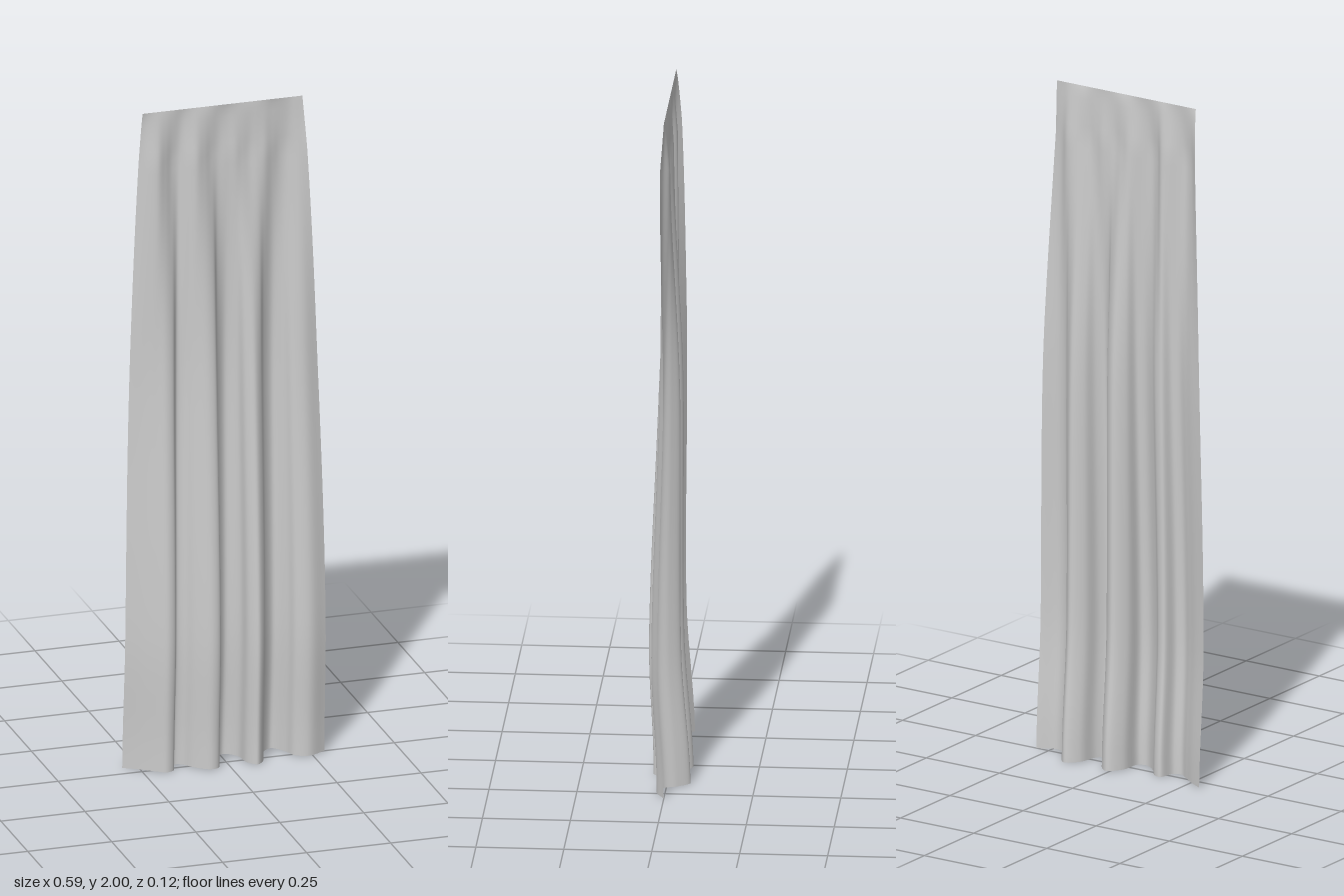
import * as THREE from 'three';

// hem outline of the cloth as [x, z], from right edge (-x) to left edge (+x)
const HEM = [
  [-0.295, -0.045], [-0.25, -0.018], [-0.215, 0.008], [-0.185, 0.027], [-0.162, 0.018],
  [-0.148, -0.025], [-0.125, -0.02], [-0.1, 0.012], [-0.058, 0.042], [-0.032, 0.034],
  [-0.023, -0.025], [0.01, -0.064], [0.045, -0.035], [0.056, 0.02], [0.08, 0.045],
  [0.104, 0.02], [0.118, -0.035], [0.153, -0.066], [0.185, -0.03], [0.202, 0.008],
  [0.24, 0.024], [0.292, 0.0],
];
const ROWS = 44, COLS = 126;

// cross-section of the cloth at height y: straight at the top, deep folds at the hem
function sectionAt(y) {
  const spread = 1 - Math.pow(y / 2, 2.2);
  const depth = Math.pow(1 - y / 2, 0.6);
  const drop = 2 - y;
  const pleat = 0.013 * Math.min(1, drop / 0.15) * (1 - THREE.MathUtils.smoothstep(drop, 0.15, 0.9));
  const sway = 0.018 * THREE.MathUtils.smoothstep(y, 0, 0.4) * (1 - THREE.MathUtils.smoothstep(y, 0.4, 1.3));
  const points = HEM.map(([x, z], i) => {
    const topX = THREE.MathUtils.lerp(-0.25, 0.225, i / (HEM.length - 1));
    const small = pleat * Math.cos((topX + 0.215) / 0.112 * Math.PI * 2);
    return new THREE.Vector3(
      THREE.MathUtils.lerp(topX, x, spread), y,
      0.005 * (1 - depth) + z * depth + small + sway);
  });
  return new THREE.CatmullRomCurve3(points).getPoints(COLS);
}

export function createModel() {
  const group = new THREE.Group();
  group.name = 'curtain';
  const fabric = new THREE.MeshStandardMaterial({ color: 0xcccccc, side: THREE.DoubleSide });
  fabric.name = 'light grey fabric';

  // loft the sections from top to hem
  const cloth = new THREE.PlaneGeometry(1, 1, COLS, ROWS);
  const position = cloth.attributes.position;
  for (let r = 0; r <= ROWS; r++) {
    const y = 2 * (1 - Math.pow(r / ROWS, 1.3));
    sectionAt(y).forEach((p, c) => position.setXYZ(r * (COLS + 1) + c, p.x, p.y, p.z));
  }
  cloth.computeVertexNormals();

  const mesh = new THREE.Mesh(cloth, fabric);
  mesh.name = 'drapedCloth';
  group.add(mesh);
  return group;
}
